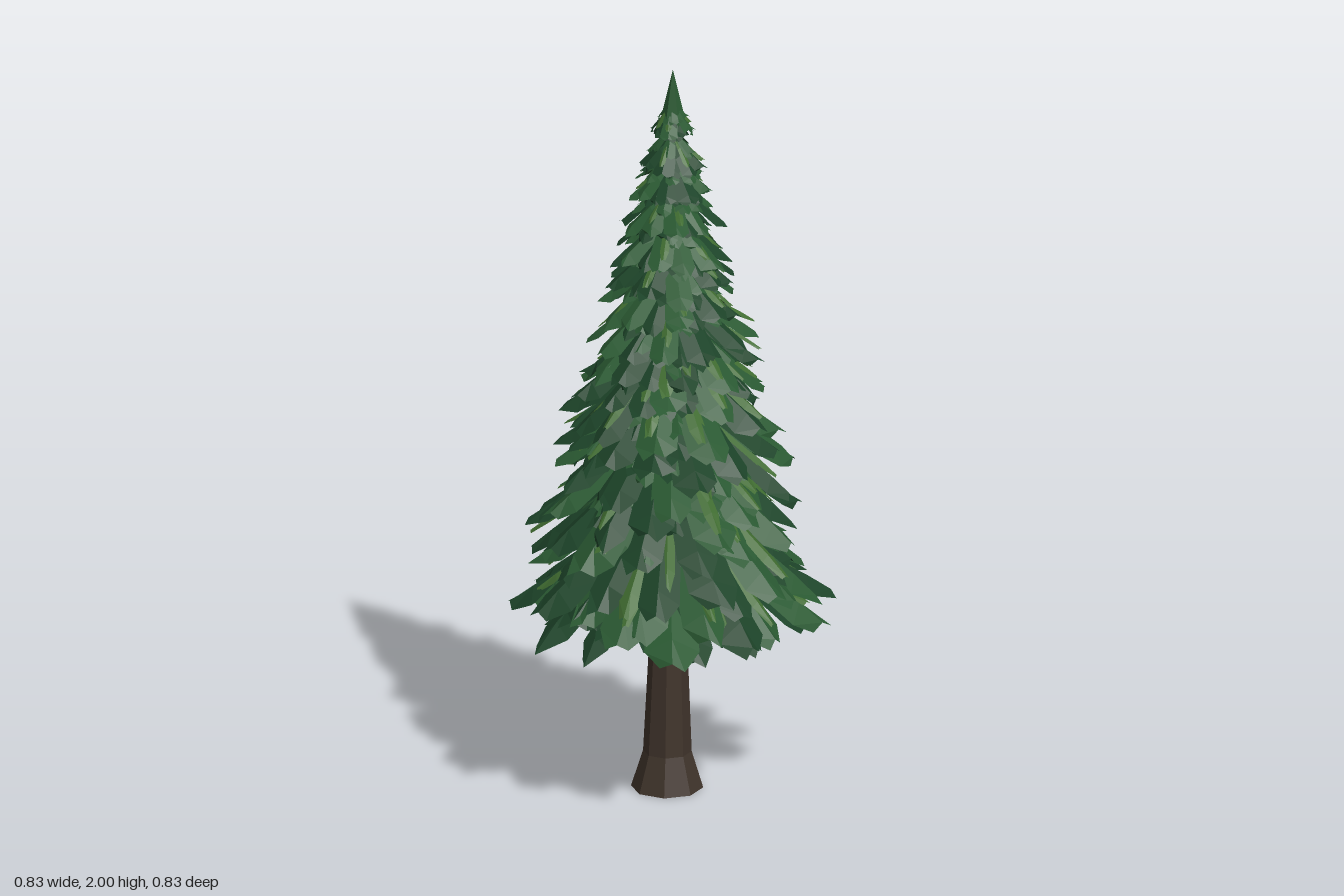
import * as THREE from 'three';
import { mergeGeometries } from 'three/addons/utils/BufferGeometryUtils.js';

// Seeded random numbers
function seeded(seed) {
  return () => {
    seed = (seed * 1664525 + 1013904223) % 4294967296;
    return seed / 4294967296;
  };
}

const axisX = y => 0.012 + 0.006 * y; // the trunk leans slightly
const axisZ = y => -0.01 + 0.005 * y;

// Drooping needle spray: a strip folded along its ridge, growing along +x
function sprayGeometry({ start, reach, y, drop, width, fold, skew }) {
  const stations = [[0, 0.2], [0.42, 0.8], [0.84, 1], [1, 0.45]];
  const positions = [], index = [];
  for (const [t, w] of stations) {
    const r = start + (reach - start) * t;
    const h = y - drop * Math.pow(t, 1.35);
    const half = width * 0.5 * w;
    for (const side of [-1, 0, 1]) {
      const back = t === 1 ? side * skew * width : 0; // uneven blunt tip
      positions.push(r - back, h - Math.abs(side) * half * fold, side * half);
    }
  }
  for (let i = 0; i < stations.length - 1; i++) {
    for (let j = 0; j < 2; j++) {
      const a = i * 3 + j, b = a + 1, c = a + 3, d = a + 4;
      index.push(a, b, c, b, d, c);
    }
  }
  const g = new THREE.BufferGeometry();
  g.setAttribute('position', new THREE.Float32BufferAttribute(positions, 3));
  g.setIndex(index);
  const flat = g.toNonIndexed();
  flat.computeVertexNormals();
  return flat;
}

export function createModel() {
  const tree = new THREE.Group();
  tree.name = 'coniferTree';
  const rand = seeded(20);
  const vary = (a, b) => a + (b - a) * rand();
  const material = color => new THREE.MeshStandardMaterial({
    color, flatShading: true, side: THREE.DoubleSide });
  const add = (name, geometry, mat) => {
    const mesh = new THREE.Mesh(geometry, mat);
    mesh.name = name;
    tree.add(mesh);
  };

  // Trunk with a flared foot, closed at the bottom
  const profile = [[0, 0], [0.095, 0], [0.064, 0.1], [0.046, 0.5],
    [0.034, 0.85], [0.02, 1.35], [0.008, 1.88]].map(p => new THREE.Vector2(...p));
  const trunk = new THREE.LatheGeometry(profile, 8, 0.25);
  const tp = trunk.attributes.position;
  for (let i = 0; i < tp.count; i++) {
    const y = tp.getY(i);
    tp.setX(i, tp.getX(i) + axisX(y));
    tp.setZ(i, tp.getZ(i) + axisZ(y));
  }
  add('trunk', trunk, material(0x40342b));

  // Tiers of sprays, small at the top and long and drooping at the bottom
  const shades = { dark: [], mid: [], light: [] };
  const tiers = 18;
  for (let k = 0; k < tiers; k++) {
    const u = k / (tiers - 1);
    const count = Math.round(8 + 7 * u);
    const tierY = 1.88 - 1.14 * Math.pow(u, 0.95);
    const tierReach = 0.058 + 0.355 * Math.pow(u, 0.85);
    const tierDrop = 0.05 + 0.19 * u;
    for (let n = 0; n < count; n++) {
      const angle = (n + vary(-0.25, 0.25)) / count * Math.PI * 2 + k * 2.4;
      const y = tierY + vary(-0.02, 0.02) * (0.4 + u);
      const base = {
        start: 0.008 + 0.015 * u, y,
        reach: tierReach * vary(0.84, 1.04),
        drop: tierDrop * vary(0.85, 1.2),
        width: (0.052 + 0.085 * u) * vary(0.85, 1.15),
        fold: vary(0.35, 0.7), skew: vary(-0.2, 0.2),
      };
      const place = (shade, params, turn) => {
        const g = sprayGeometry(params);
        g.rotateY(angle + turn);
        g.translate(axisX(y), 0, axisZ(y));
        shades[shade].push(g);
      };
      // Broad main spray
      place(rand() < 0.55 ? 'dark' : 'mid', base, 0);
      // Shorter side spray filling the gap below
      place('dark', { ...base, y: y - 0.03 * (0.3 + u), reach: base.reach * vary(0.7, 0.9),
        width: base.width * 0.8 }, Math.PI / count);
      // Upper layer, broad and short
      place('mid', { ...base, y: y + 0.02 + 0.04 * u, reach: base.reach * vary(0.62, 0.8),
        drop: base.drop * 0.75, width: base.width * 0.65 }, vary(-0.3, 0.3));
      // Narrow finger lying along the ridge
      if (rand() < 0.6) {
        place('light', { ...base, y: y + 0.012 + 0.012 * u, reach: base.reach * vary(0.8, 1.03),
          drop: base.drop * 0.9, width: base.width * vary(0.25, 0.45) }, vary(-0.1, 0.1));
      }
    }
  }
  add('shadedFoliage', mergeGeometries(shades.dark), material(0x1d4429));
  add('foliage', mergeGeometries(shades.mid), material(0x2a5932));
  add('sunlitFoliage', mergeGeometries(shades.light), material(0x3f6b30));

  // Pointed leader at the top
  const spire = new THREE.ConeGeometry(0.04, 0.17, 6);
  spire.translate(axisX(2), 1.915, axisZ(2));
  add('spire', spire, material(0x2a5932));

  return tree;
}
